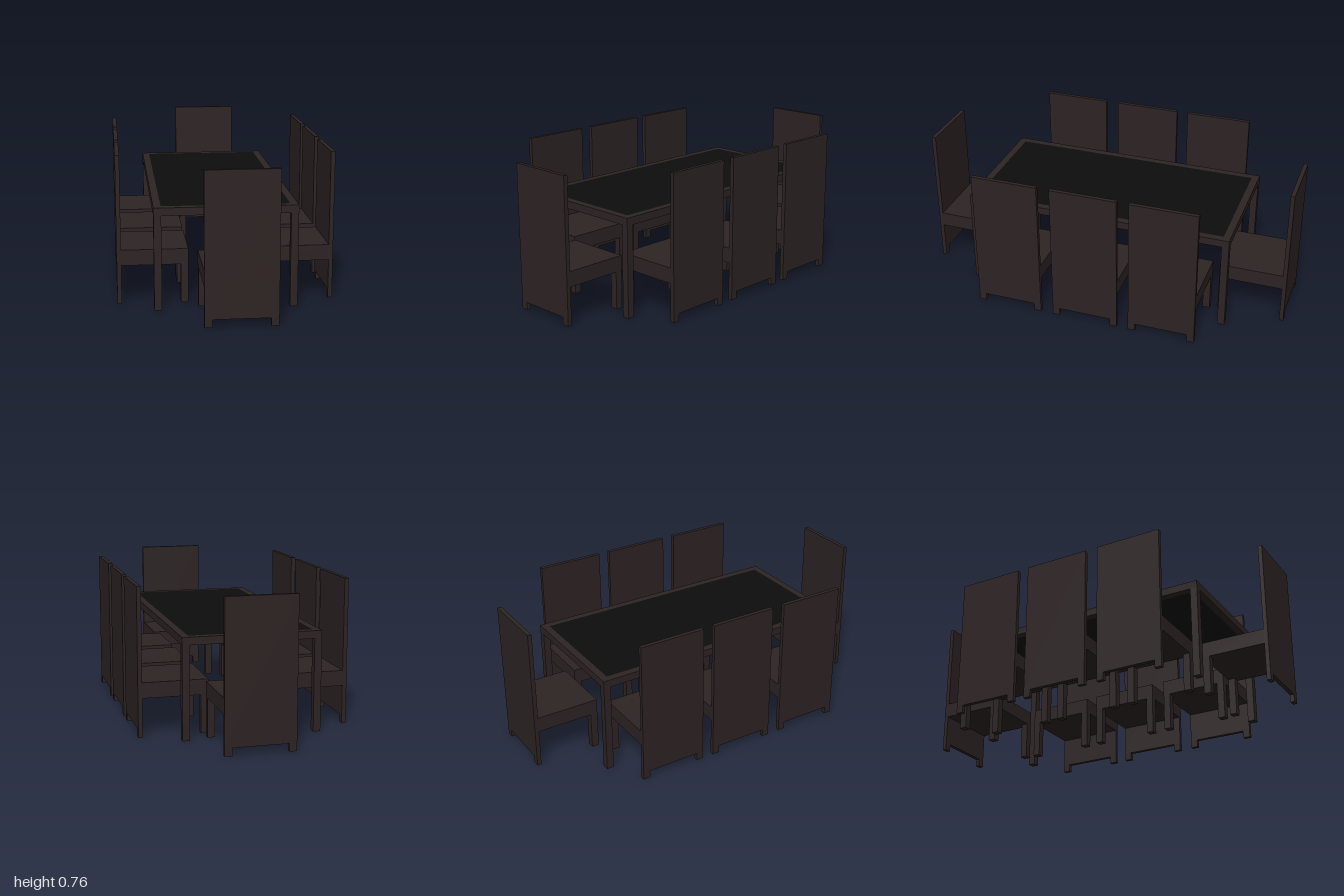
import * as THREE from 'three';

const wood = new THREE.MeshStandardMaterial({ color: 0x2d2323 });
wood.name = 'dark wood';
const glass = new THREE.MeshStandardMaterial({ color: 0x0d0d0d });
glass.name = 'black glass';

// Box given by its minimum and maximum corners
function box(name, material, [x0, y0, z0], [x1, y1, z1]) {
  const mesh = new THREE.Mesh(new THREE.BoxGeometry(x1 - x0, y1 - y0, z1 - z0), material);
  mesh.position.set((x0 + x1) / 2, (y0 + y1) / 2, (z0 + z1) / 2);
  mesh.name = name;
  return mesh;
}

// Chair with its rear face on z = 0, facing +z
function createChair(name) {
  const chair = new THREE.Group();
  chair.name = name;
  const half = 0.179, depth = 0.358, back = 0.022, leg = 0.038;
  chair.add(box('backrest', wood, [-half, 0.04, 0], [half, 0.76, back]));
  chair.add(box('seat', wood, [-half, 0.2, back], [half, 0.28, depth]));
  for (const x of [-half, half - leg]) {
    chair.add(box('backLeg', wood, [x, 0, 0], [x + leg, 0.04, back]));
    chair.add(box('frontLeg', wood, [x, 0, depth - leg], [x + leg, 0.2, depth]));
  }
  return chair;
}

function createTable() {
  const table = new THREE.Group();
  table.name = 'table';
  const x0 = -0.367, x1 = 0.348, z0 = -0.712, z1 = 0.725, w = 0.038;
  const low = 0.48, top = 0.52;
  // Frame around the glass
  for (const x of [x0, x1 - w]) table.add(box('sideRail', wood, [x, low, z0], [x + w, top, z1]));
  for (const z of [z0, z1 - w]) table.add(box('endRail', wood, [x0 + w, low, z], [x1 - w, top, z + w]));
  table.add(box('glassTop', glass, [x0 + w, low, z0 + w], [x1 - w, top, z1 - w]));
  // Legs at the corners
  for (const x of [x0, x1 - w])
    for (const z of [z0, z1 - w]) table.add(box('tableLeg', wood, [x, 0, z], [x + w, low, z + w]));
  return table;
}

export function createModel() {
  const model = new THREE.Group();
  model.name = 'diningSet';
  model.add(createTable());

  // Three chairs along each side, facing the table
  for (const side of [-1, 1]) {
    for (const z of [-0.421, 0, 0.428]) {
      const chair = createChair('sideChair');
      chair.position.set(side * 0.547, 0, z);
      chair.rotation.y = -side * Math.PI / 2;
      model.add(chair);
    }
  }

  // One chair at each end
  for (const end of [-1, 1]) {
    const chair = createChair('endChair');
    chair.position.set(0.034, 0, end);
    chair.rotation.y = end > 0 ? Math.PI : 0;
    model.add(chair);
  }
  return model;
}
